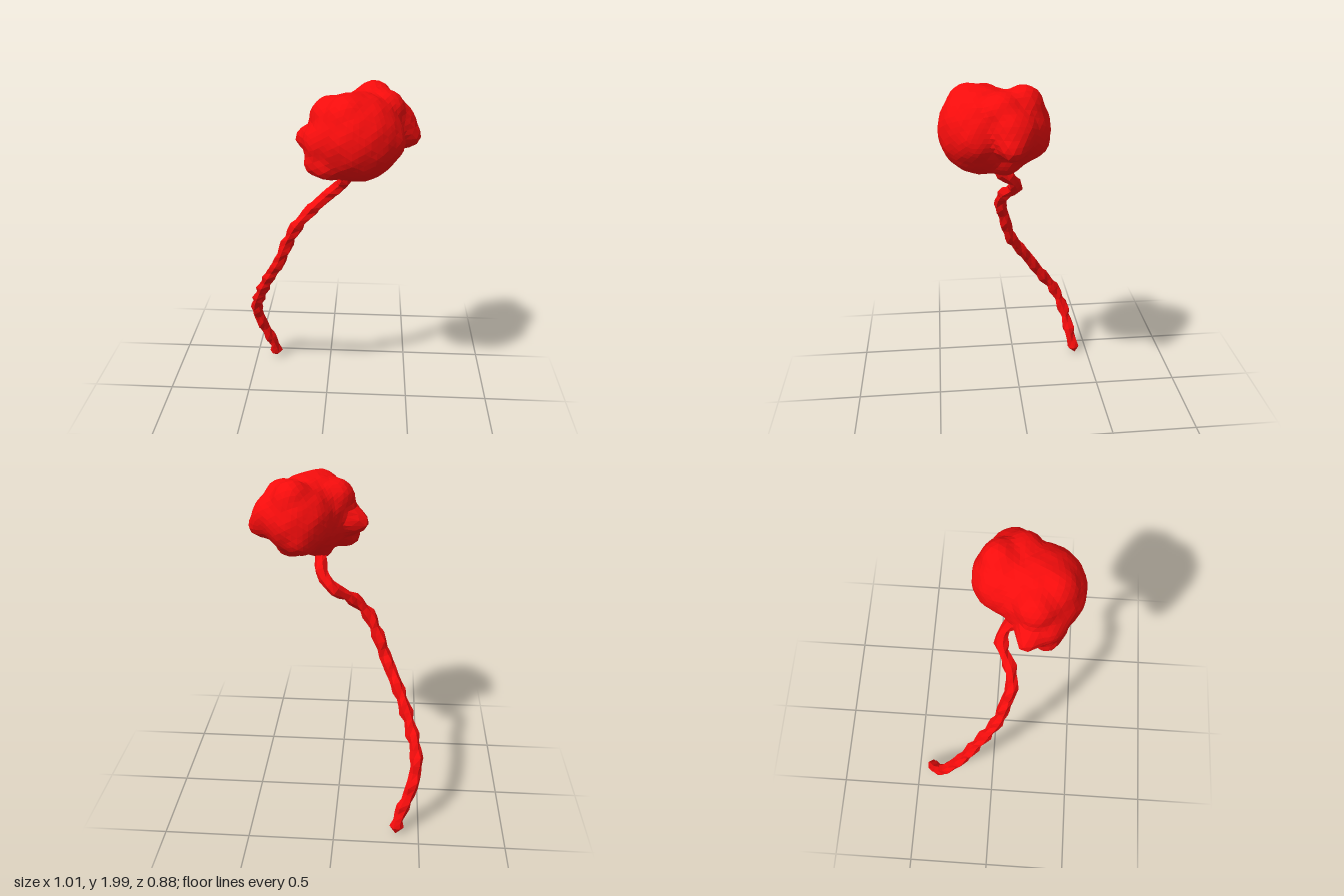
import * as THREE from 'three';

const red = new THREE.MeshStandardMaterial({ color: 0xf50c0c, flatShading: true });

// Lobes of the lumpy head: x, y, z, radius
const lobes = [
  [0.17, 1.75, 0.21, 0.226],  // main front mass
  [0.22, 1.77, 0.05, 0.188],  // main back mass
  [0.455, 1.72, 0.075, 0.042], // left knob
  [0.41, 1.735, 0.07, 0.075], // left knob base
  [0.36, 1.79, 0.06, 0.11],   // left shoulder
  [-0.115, 1.725, 0.15, 0.038], // right knob
  [-0.06, 1.73, 0.17, 0.075], // right knob base
  [0.0, 1.73, 0.24, 0.105],   // right cheek
  [-0.03, 1.625, 0.25, 0.072], // lower right front
  [0.03, 1.62, 0.28, 0.075],  // lower front
  [0.25, 1.9, 0.0, 0.094],    // top back
  [0.12, 1.88, 0.28, 0.098],  // top front
  [0.03, 1.85, 0.19, 0.105],  // top right
  [0.31, 1.87, 0.11, 0.1],    // top left
  [0.31, 1.74, 0.24, 0.1],    // front left
  [0.27, 1.63, 0.1, 0.09],    // lower left
  [0.2, 1.69, -0.05, 0.08],   // lower back
  [0.11, 1.57, 0.17, 0.06],   // root of the stem
];

// Distance to the softly blended lobes
function headField(p) {
  const k = 0.013;
  let sum = 0;
  for (const [x, y, z, r] of lobes) {
    sum += Math.exp(-(Math.hypot(p.x - x, p.y - y, p.z - z) - r) / k);
  }
  return -k * Math.log(sum);
}

// Sphere whose vertices are pulled in along their rays onto the blended lobes
function createHead() {
  const geometry = new THREE.IcosahedronGeometry(1, 9);
  const centre = new THREE.Vector3(0.18, 1.75, 0.14);
  const pos = geometry.attributes.position;
  const dir = new THREE.Vector3();
  const p = new THREE.Vector3();
  for (let i = 0; i < pos.count; i++) {
    dir.fromBufferAttribute(pos, i).normalize();
    let t = 0.6;
    for (let s = 0; s < 80; s++) {
      const d = headField(p.copy(centre).addScaledVector(dir, t));
      if (d < 0.0005) break;
      t -= d * 0.8;
    }
    t += 0.004 * Math.sin(13 * dir.x + 3) * Math.sin(11 * dir.y + 1) * Math.sin(12 * dir.z);
    p.copy(centre).addScaledVector(dir, t);
    pos.setXYZ(i, p.x, p.y, p.z);
  }
  geometry.computeVertexNormals();
  const head = new THREE.Mesh(geometry, red);
  head.name = 'lumpyHead';
  return head;
}

// Crooked six-sided stem of uneven thickness, closed at both ends
function createStem() {
  const path = new THREE.CatmullRomCurve3([
    [-0.365, 0, -0.42], [-0.38, 0.1, -0.395], [-0.45, 0.3, -0.345], [-0.47, 0.45, -0.28],
    [-0.43, 0.6, -0.175], [-0.37, 0.75, -0.085], [-0.32, 0.85, -0.02], [-0.27, 0.95, 0.035],
    [-0.22, 1.08, 0.065], [-0.16, 1.2, 0.095], [-0.07, 1.3, 0.075], [0.02, 1.37, 0.025],
    [0.09, 1.44, 0.045], [0.11, 1.5, 0.11], [0.11, 1.6, 0.18],
  ].map((a) => new THREE.Vector3(...a)));
  const rings = 44, sides = 6;
  const geometry = new THREE.TubeGeometry(path, rings, 0.035, sides);
  const pos = geometry.attributes.position;
  const p = new THREE.Vector3();
  for (let i = 0; i < pos.count; i++) {
    const ring = Math.floor(i / (sides + 1));
    const side = i % (sides + 1) % sides;
    let scale = 1 + 0.14 * Math.sin(ring * 1.9) + 0.14 * Math.sin(ring * 2.3 + side * 2.1);
    if (ring === 0 || ring === rings) scale = 0;
    const c = path.getPointAt(ring / rings);
    p.fromBufferAttribute(pos, i).sub(c).multiplyScalar(scale).add(c);
    pos.setXYZ(i, p.x, p.y, p.z);
  }
  geometry.computeVertexNormals();
  const stem = new THREE.Mesh(geometry, red);
  stem.name = 'stem';
  return stem;
}

export function createModel() {
  const group = new THREE.Group();
  group.name = 'lumpyBlobOnStem';
  group.add(createHead(), createStem());
  return group;
}
